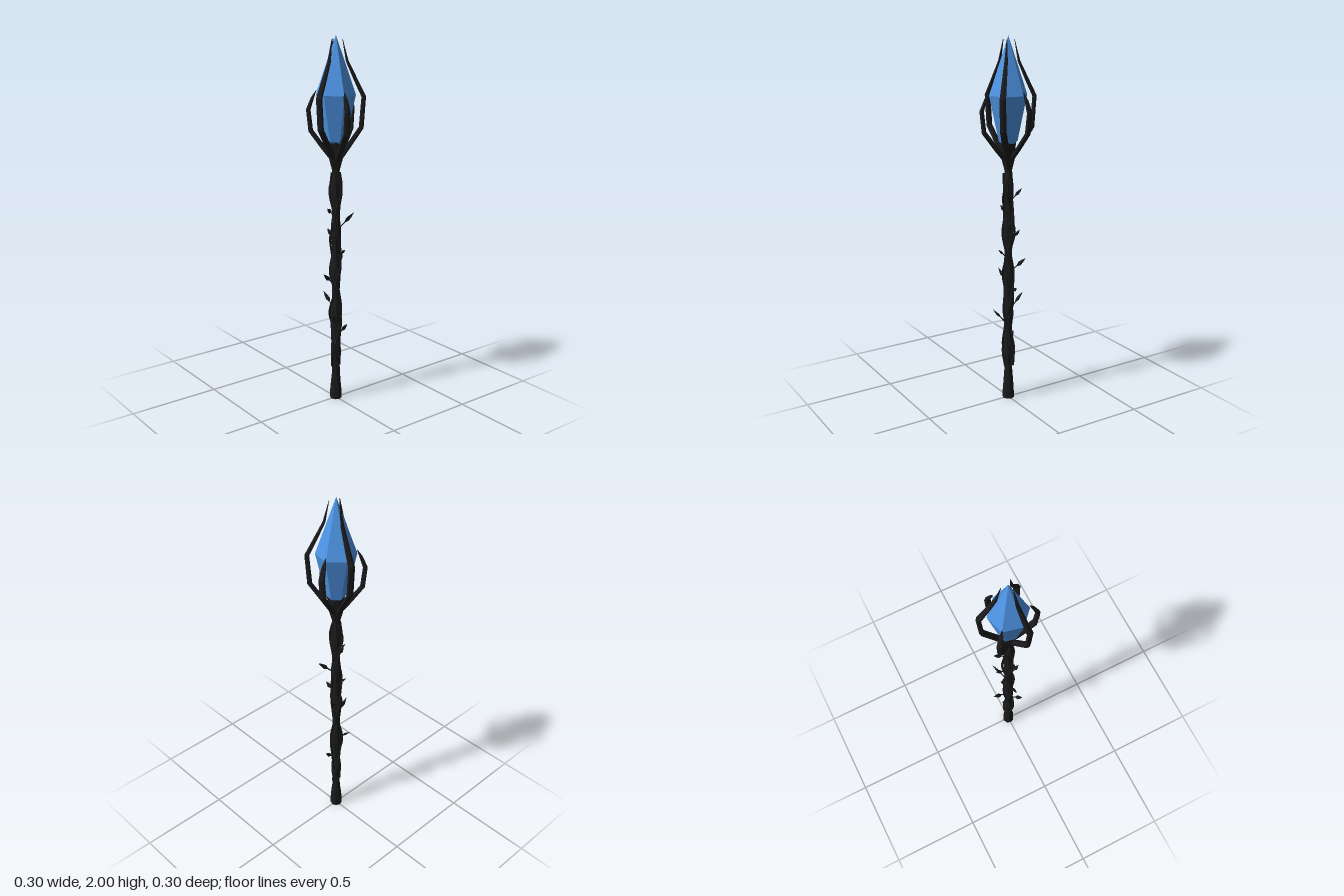
import * as THREE from 'three';

const dark = new THREE.MeshStandardMaterial({ color: 0x1b1b1d, flatShading: true, side: THREE.DoubleSide });
const blue = new THREE.MeshStandardMaterial({ color: 0x4f96e6, flatShading: true });
const CLAW_START = THREE.MathUtils.degToRad(43);

function add(parent, name, geometry, material) {
  const mesh = new THREE.Mesh(geometry, material);
  mesh.name = name;
  parent.add(mesh);
  return mesh;
}

// Sweep an oval section along a path in the xy plane; stations are [x, y, half thickness, half width]
function sweepClaw(stations, sides = 6) {
  const pos = [], idx = [];
  stations.forEach(([x, y, t, w], i) => {
    const p = stations[Math.max(i - 1, 0)], n = stations[Math.min(i + 1, stations.length - 1)];
    const dir = new THREE.Vector2(n[0] - p[0], n[1] - p[1]).normalize();
    for (let j = 0; j < sides; j++) {
      const a = (j / sides) * Math.PI * 2;
      pos.push(x + dir.y * t * Math.cos(a), y - dir.x * t * Math.cos(a), w * Math.sin(a));
      if (i === stations.length - 1) continue;
      const k = i * sides + j, l = i * sides + (j + 1) % sides;
      idx.push(k, k + sides, l, l, k + sides, l + sides);
    }
  });
  const g = new THREE.BufferGeometry();
  g.setAttribute('position', new THREE.Float32BufferAttribute(pos, 3));
  g.setIndex(idx);
  g.computeVertexNormals();
  return g;
}

// Gnarled shaft radius: swells about every 0.23 units
const shaftRadius = (y) => 0.0245 + 0.0045 * Math.cos(((y - 0.28) / 0.23) * Math.PI * 2);

export function createModel() {
  const staff = new THREE.Group();
  staff.name = 'staff';

  // Shaft with a flared foot and a socket under the crystal
  const profile = [[0, 0], [0.033, 0], [0.033, 0.04], [0.029, 0.1], [0.023, 0.15]];
  for (let y = 0.2; y < 1.3; y += 0.0575) profile.push([shaftRadius(y), y]);
  profile.push([0.022, 1.32], [0.034, 1.38], [0.042, 1.465], [0.03, 1.465], [0, 1.42]);
  const shaft = new THREE.LatheGeometry(profile.map(([r, y]) => new THREE.Vector2(r, y)), 8);
  const sp = shaft.attributes.position;
  for (let i = 0; i < sp.count; i++) {
    const a = sp.getY(i) * 2.5, x = sp.getX(i), z = sp.getZ(i);
    sp.setX(i, x * Math.cos(a) - z * Math.sin(a));
    sp.setZ(i, x * Math.sin(a) + z * Math.cos(a));
  }
  shaft.computeVertexNormals();
  add(staff, 'shaft', shaft, dark);

  // Vines winding up the shaft, two each way
  for (let v = 0; v < 4; v++) {
    const points = [];
    for (let i = 0; i <= 48; i++) {
      const y = 0.19 + (i / 48) * 1.1;
      const a = (v % 2 ? -1 : 1) * y * 8.5 + v * 1.7;
      const r = shaftRadius(y) + 0.003 + 0.003 * Math.sin(y * 23 + v * 2);
      points.push(new THREE.Vector3(r * Math.cos(a), y, r * Math.sin(a)));
    }
    add(staff, 'vine', new THREE.TubeGeometry(new THREE.CatmullRomCurve3(points), 80, 0.006, 5), dark);
  }

  // Pointed leaves, given by tip position; each grows from the shaft at a slant
  const leafTips = [
    [0.098, 1.065, 0.033], [0.09, 0.835, -0.055], [0.072, 0.425, 0.01], [-0.09, 0.745, 0.01],
    [-0.064, 0.515, 0.06], [-0.064, 1.105, 0.01], [0.04, 0.655, -0.03], [0.01, 1.2, -0.08],
    [0, 0.97, -0.075], [-0.01, 0.605, -0.1], [0.01, 0.88, 0.068],
  ];
  const up = new THREE.Vector3(0, 1, 0);
  for (const [x, y, z] of leafTips) {
    const tip = new THREE.Vector3(x, y, z);
    const reach = Math.hypot(x, z), s = 0.02 / reach;
    const base = new THREE.Vector3(x * s, y - (reach - 0.02) * 0.95, z * s);
    const dir = tip.clone().sub(base), length = dir.length();
    const stem = new THREE.CylinderGeometry(0.003, 0.004, length * 0.4, 4).translate(0, length * 0.2, 0);
    const blade = new THREE.LatheGeometry(
      [[0, 0.3], [0.013, 0.55], [0.009, 0.75], [0, 1]].map(([r, t]) => new THREE.Vector2(r, t * length)), 6);
    blade.scale(1, 1, 0.5);
    const leaf = new THREE.Group();
    leaf.name = 'leaf';
    add(leaf, 'leafStem', stem, dark);
    add(leaf, 'leafBlade', blade, dark);
    leaf.position.copy(base);
    leaf.quaternion.setFromUnitVectors(up, dir.normalize());
    staff.add(leaf);
  }

  // Six-sided crystal
  const crystal = new THREE.LatheGeometry(
    [[0, 1.41], [0.052, 1.46], [0.104, 1.7], [0, 2]].map(([r, y]) => new THREE.Vector2(r, y)), 6);
  add(staff, 'crystal', crystal, blue).rotation.y = Math.PI / 2 - CLAW_START;

  // Claws around the crystal: long ones curl in to the tip, short ones stop at its widest part
  const longClaw = sweepClaw([
    [0.012, 1.31, 0.01, 0.012], [0.025, 1.37, 0.013, 0.016], [0.065, 1.43, 0.013, 0.018],
    [0.132, 1.53, 0.013, 0.018], [0.144, 1.69, 0.012, 0.018], [0.1, 1.78, 0.01, 0.014],
    [0.058, 1.87, 0.007, 0.01], [0.034, 1.98, 0.001, 0.002],
  ]);
  const shortClaw = sweepClaw([
    [0.012, 1.31, 0.01, 0.012], [0.025, 1.37, 0.013, 0.016], [0.065, 1.42, 0.013, 0.018],
    [0.132, 1.51, 0.013, 0.018], [0.144, 1.62, 0.012, 0.017], [0.122, 1.68, 0.008, 0.012],
    [0.102, 1.72, 0.001, 0.002],
  ]);
  for (let i = 0; i < 6; i++) {
    const claw = add(staff, i % 2 ? 'shortClaw' : 'longClaw', i % 2 ? shortClaw : longClaw, dark);
    claw.rotation.y = -(CLAW_START + (i * Math.PI) / 3);
  }
  return staff;
}
